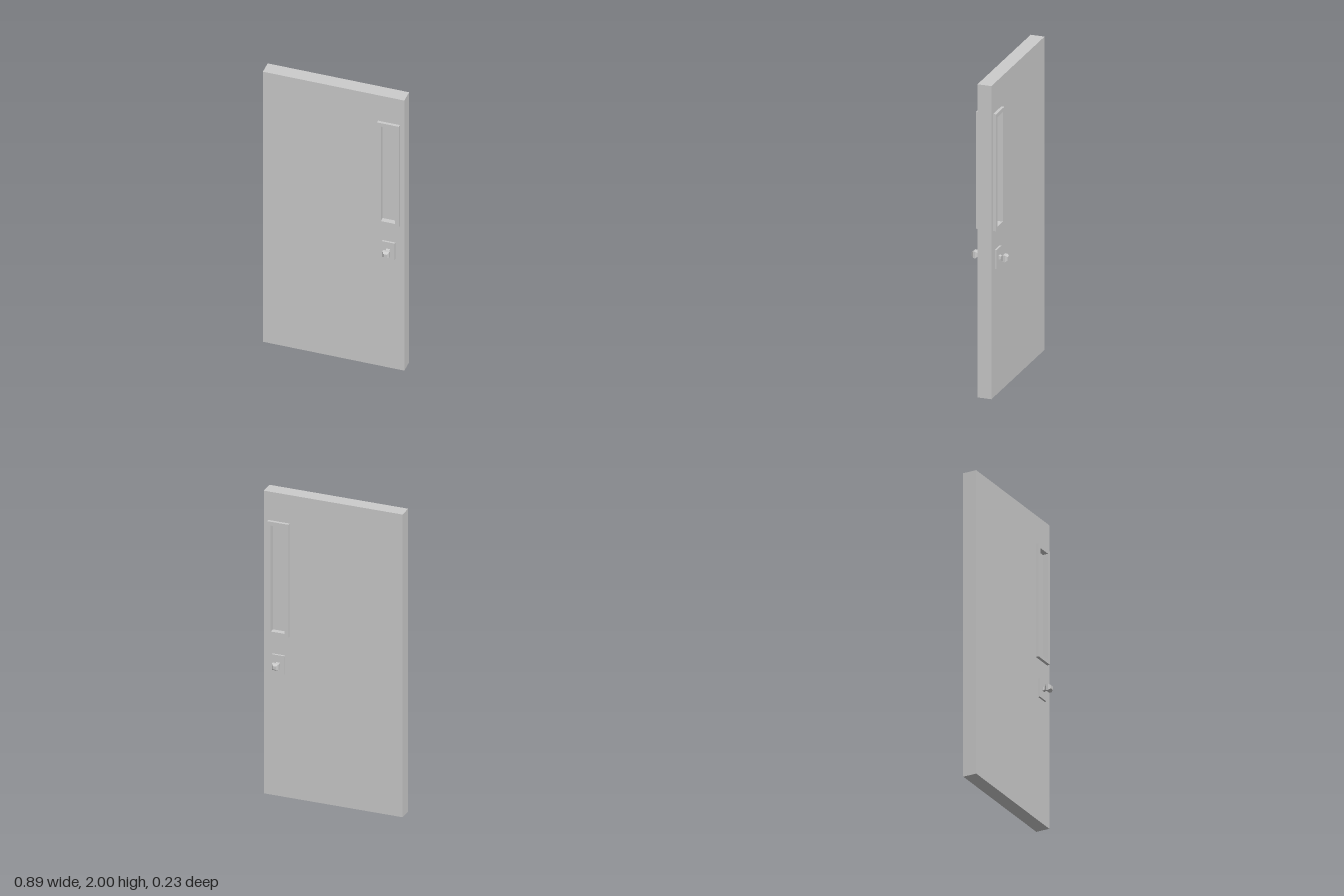
import * as THREE from 'three';

const HALF_T = 0.0445;      // half the door thickness
const FIT_X = 0.35;         // x of the window and the knob
const PANE = { w: 0.09, y0: 1.087, y1: 1.787 };
const RIM = 0.024;

const material = new THREE.MeshStandardMaterial({ color: 0xcccccc, flatShading: true });

function add(parent, name, geometry, x = 0, y = 0, z = 0) {
  const mesh = new THREE.Mesh(geometry, material);
  mesh.name = name;
  mesh.position.set(x, y, z);
  parent.add(mesh);
  return mesh;
}

function trace(path, x0, y0, x1, y1) {
  path.moveTo(x0, y0);
  path.lineTo(x1, y0);
  path.lineTo(x1, y1);
  path.lineTo(x0, y1);
  path.closePath();
  return path;
}

// Flat slab with a rectangular opening, back face on z = 0
function openSlab(outer, inner, depth) {
  const shape = trace(new THREE.Shape(), ...outer);
  shape.holes.push(trace(new THREE.Path(), ...inner));
  return new THREE.ExtrudeGeometry(shape, { depth, bevelEnabled: false });
}

// Square-section stem and knob: [half width, distance from door centre]
function knobGeometry() {
  const profile = [
    [0.012, 0.055], [0.012, 0.063], [0.009, 0.068], [0.009, 0.077], [0.012, 0.077],
    [0.021, 0.088], [0.021, 0.102], [0.011, 0.116], [0, 0.116],
  ].map(([half, d]) => new THREE.Vector2(half * Math.SQRT2, d));
  return new THREE.LatheGeometry(profile, 4).rotateY(Math.PI / 4).rotateX(Math.PI / 2);
}

export function createModel() {
  const door = new THREE.Group();
  door.name = 'door';
  const { w, y0, y1 } = PANE;
  const h = w / 2;

  // Door leaf with the window opening
  add(door, 'leaf', openSlab(
    [-0.447, 0, 0.447, 2], [FIT_X - h, y0, FIT_X + h, y1], HALF_T * 2), 0, 0, -HALF_T);

  // Window pane set back from both faces
  add(door, 'windowPane', new THREE.BoxGeometry(w, y1 - y0, 0.06), FIT_X, (y0 + y1) / 2, 0);

  // Same fittings on the front and the back
  for (const side of ['front', 'back']) {
    const fittings = new THREE.Group();
    fittings.name = side + 'Fittings';
    fittings.position.x = FIT_X;
    if (side === 'back') fittings.rotation.y = Math.PI;
    door.add(fittings);

    add(fittings, 'windowFrame', openSlab(
      [-h - RIM, y0 - 0.022, h + RIM, y1 + 0.025], [-h, y0, h, y1], 0.0195), 0, 0, HALF_T);
    add(fittings, 'knobPlate', new THREE.BoxGeometry(0.081, 0.122, 0.013), 0, 0.874, HALF_T + 0.006);
    add(fittings, 'knob', knobGeometry(), 0, 0.876, 0);
  }
  return door;
}
